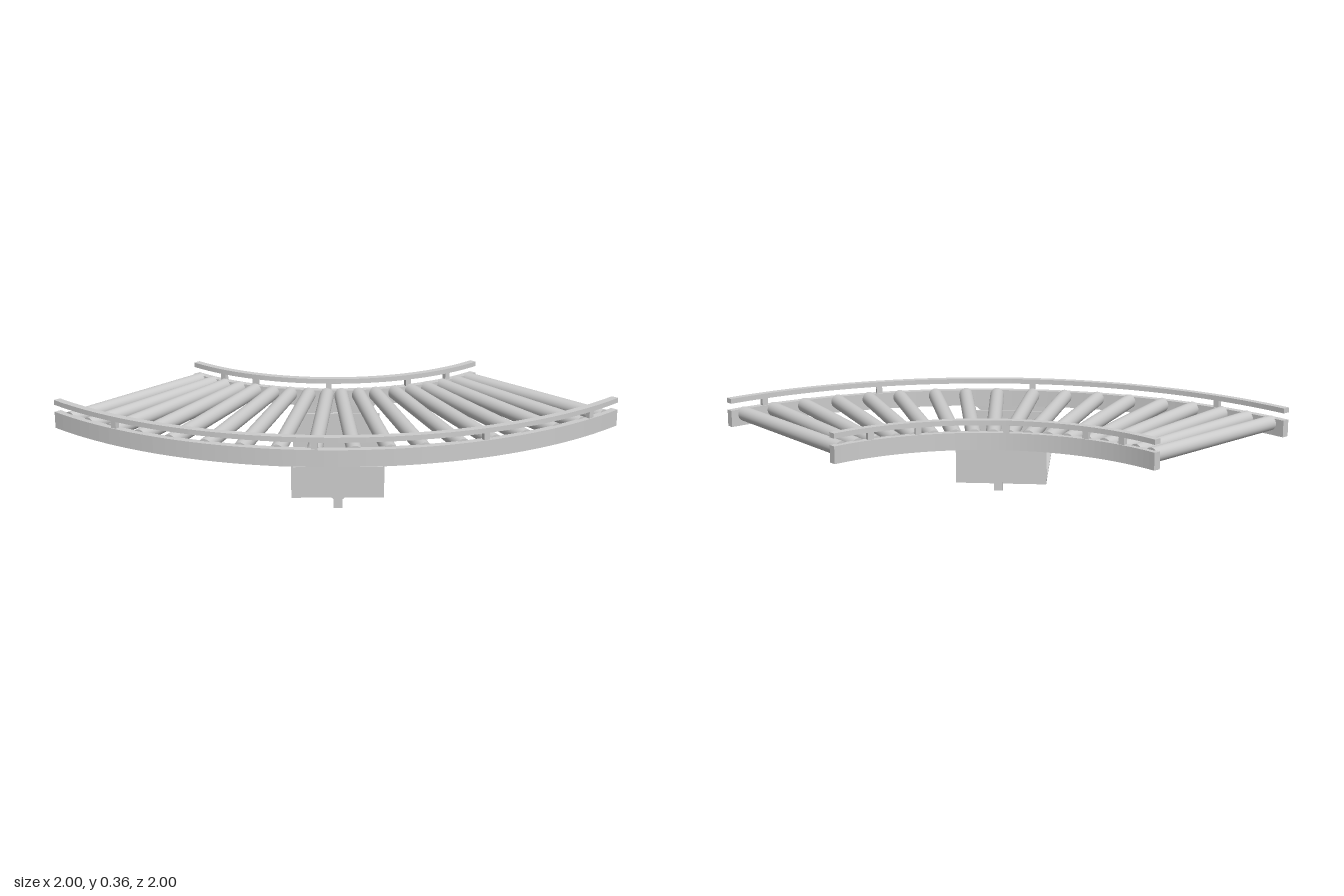
import * as THREE from 'three';

const RAD = Math.PI / 180;
const material = new THREE.MeshStandardMaterial({ color: 0xcccccc });

// The bend turns about a vertical axis at (1, -1); angles run from the back end to the left end.
const CENTRE = { x: 1, z: -1 };
const INNER = [1.043, 1.08];
const OUTER = [1.962, 2.0];

function add(parent, name, geometry, x = 0, y = 0, z = 0) {
  const mesh = new THREE.Mesh(geometry, material);
  mesh.name = name;
  mesh.position.set(x, y, z);
  parent.add(mesh);
  return mesh;
}

const pointAt = (r, deg, y) => new THREE.Vector3(
  CENTRE.x - r * Math.cos(deg * RAD), y, CENTRE.z + r * Math.sin(deg * RAD));

// Group whose local z axis points outward from the bend axis
function radialGroup(name, deg) {
  const g = new THREE.Group();
  g.name = name;
  g.position.set(CENTRE.x, 0, CENTRE.z);
  g.rotation.y = (deg - 90) * RAD;
  return g;
}

// Quarter-ring bar between two radii and two heights
function arcBar([r0, r1], y0, y1) {
  const shape = new THREE.Shape();
  shape.absarc(CENTRE.x, CENTRE.z, r1, Math.PI, Math.PI / 2, true);
  shape.absarc(CENTRE.x, CENTRE.z, r0, Math.PI / 2, Math.PI, false);
  shape.closePath();
  const geo = new THREE.ExtrudeGeometry(shape, { depth: y1 - y0, bevelEnabled: false, curveSegments: 24 });
  return geo.rotateX(Math.PI / 2).translate(0, y1, 0);
}

export function createModel() {
  const model = new THREE.Group();
  model.name = 'curvedRollerConveyor';

  // Side rails, guard rails and the short posts between them
  const sides = [
    ['inner', INNER, [11, 21.6, 43, 66, 79]],
    ['outer', OUTER, [12, 41.8, 65.8, 84.2]],
  ];
  for (const [side, radii, posts] of sides) {
    add(model, side + 'SideRail', arcBar(radii, 0.215, 0.3));
    add(model, side + 'GuardRail', arcBar(radii, 0.337, 0.362));
    for (const deg of posts) {
      const g = radialGroup(side + 'GuardPost', deg);
      add(g, side + 'GuardPostBlock', new THREE.BoxGeometry(0.03, 0.04, 0.025), 0, 0.318, (radii[0] + radii[1]) / 2);
      model.add(g);
    }
  }

  // Rollers, fanned between the two rails
  const rollers = new THREE.Group();
  rollers.name = 'rollers';
  model.add(rollers);
  const angles = [2.4, 6.5, 10.9, 15.9, 20.9, 26.3, 31.4, 36.6, 41.7,
    47.3, 52.2, 57, 62.6, 67.5, 72.5, 77.9, 82.9, 87.8];
  const up = new THREE.Vector3(0, 1, 0);
  angles.forEach((deg, i) => {
    const skew = i === 0 ? 0 : deg < 45 ? 0.8 : -0.8;
    const a = pointAt(1.07, deg + skew, 0.274);
    const b = pointAt(1.97, deg, 0.274);
    const dir = b.clone().sub(a);
    const mid = a.clone().add(b).multiplyScalar(0.5);
    const roller = add(rollers, 'roller', new THREE.CylinderGeometry(0.037, 0.037, dir.length(), 24), mid.x, mid.y, mid.z);
    roller.quaternion.setFromUnitVectors(up, dir.normalize());
  });

  // Central stand: an open tray of a base plate and two upright walls
  const stand = radialGroup('stand', 45);
  model.add(stand);
  const R0 = 1.205, R1 = 1.84, W = 0.447, T = 0.01;
  add(stand, 'standBase', new THREE.BoxGeometry(W, T, R1 - R0), 0, T / 2, (R0 + R1) / 2);
  for (const z of [R0 + T / 2, R1 - T / 2]) {
    add(stand, 'standWall', new THREE.BoxGeometry(W, 0.217, T), 0, 0.1085, z);
  }

  // Tapered bracket plates under each rail, tied to the walls by two bars
  const profile = [[-0.21, 0.217], [-0.021, 0.055], [-0.021, 0.012],
    [0.021, 0.012], [0.021, 0.055], [0.21, 0.217]];
  const plate = new THREE.ExtrudeGeometry(
    new THREE.Shape(profile.map(([x, y]) => new THREE.Vector2(x, y))),
    { depth: 0.02, bevelEnabled: false });
  for (const [plateR, wallR] of [[1.043, R0], [1.98, R1]]) {
    add(stand, 'bracketPlate', plate, 0, 0, plateR);
    const from = plateR + 0.01;
    for (const y of [0.04, 0.16]) {
      add(stand, 'bracketBar', new THREE.BoxGeometry(0.03, 0.032, Math.abs(wallR - from)), 0, y, (from + wallR) / 2);
    }
  }

  return model;
}
